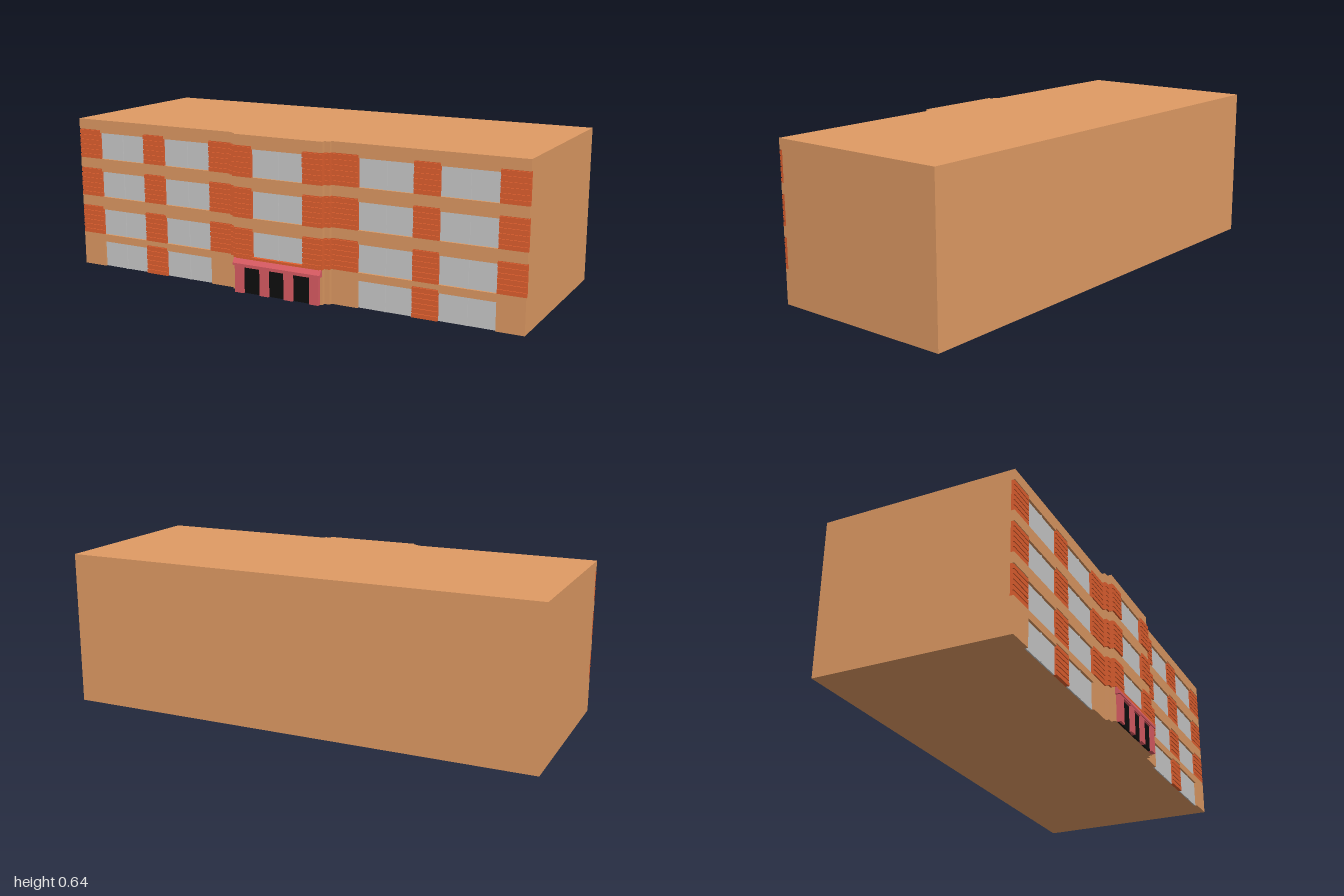
import * as THREE from 'three';

const mat = (color) => new THREE.MeshStandardMaterial({ color, flatShading: true });

export function createModel() {
  const root = new THREE.Group();
  const tan = mat(0xe09b64), brick = mat(0xe2602f), pink = mat(0xdc5c64);
  const grey = mat(0xcccccc), black = mat(0x0e0e0e);

  // Box given by its limits on each axis
  const box = (name, m, x0, x1, y0, y1, z0, z1) => {
    const mesh = new THREE.Mesh(new THREE.BoxGeometry(x1 - x0, y1 - y0, z1 - z0), m);
    mesh.position.set((x0 + x1) / 2, (y0 + y1) / 2, (z0 + z1) / 2);
    mesh.name = name;
    root.add(mesh);
  };
  // Side profile of [z, y] points swept along x
  const sweep = (name, m, x0, x1, points) => {
    const shape = new THREE.Shape(points.map(([z, y]) => new THREE.Vector2(z, y)));
    const geo = new THREE.ExtrudeGeometry(shape, { depth: x1 - x0, bevelEnabled: false });
    geo.rotateY(-Math.PI / 2).translate(x1, 0, 0);
    const mesh = new THREE.Mesh(geo, m);
    mesh.name = name;
    root.add(mesh);
  };
  // Brick panel with horizontal grooves
  const panel = (x0, x1, y0, y1, zBack, zFront) => {
    const rows = 6, pitch = (y1 - y0) / rows, groove = 0.004, zIn = zFront - 0.005;
    const pts = [[zBack, y0]];
    for (let i = 0; i < rows; i++) {
      const a = y0 + i * pitch, b = a + pitch - groove;
      pts.push([zFront, a], [zFront, b], [zIn, b], [zIn, a + pitch]);
    }
    pts.push([zBack, y1]);
    sweep('brickPanel', brick, x0, x1, pts);
  };
  // Two-pane window with a centre bar and a header above
  const glazing = (x0, x1, y0, y1, z, wallZ, top) => {
    const c = (x0 + x1) / 2;
    box('windowPane', grey, x0, x1, y0, y1, z - 0.005, z);
    box('windowBar', grey, c - 0.003, c + 0.003, y0, y1, z, z + 0.004);
    box('windowHeader', tan, x0, x1, y1, top, z - 0.005, wallZ);
  };

  const H = 0.64, BACK = -0.417, CORE = 0.352, WALL = 0.366, STEP = 0.38, BAY = 0.398;
  const floors = [[0, 0.122], [0.142, 0.265], [0.308, 0.43], [0.473, 0.597]];

  // Main block and the core of the projecting centre bay
  box('mainBlock', tan, -1, 1, 0, H, BACK, CORE);
  box('centreBay', tan, -0.2, 0.2, 0, H, CORE, 0.385);

  // Floor bands across the facade
  floors.forEach(([, y0], i) => {
    const y1 = i < 3 ? floors[i + 1][0] : H;
    box('floorBand', tan, -1, 1, y0, y1, CORE, WALL);
    box('bayBand', tan, -0.2, 0.2, y0, y1, 0.385, BAY);
  });
  box('entranceWall', tan, -0.2, 0.2, 0, 0.122, 0.385, BAY);

  for (const s of [-1, 1]) {
    const span = (a, b) => (s > 0 ? [a, b] : [-b, -a]);
    // Narrow step beside the centre bay, and plain ground floor walls
    box('bayStep', tan, ...span(0.2, 0.222), 0, H, CORE, STEP);
    box('groundWall', tan, ...span(0.222, 0.335), 0, 0.122, CORE, WALL);
    box('groundCorner', tan, ...span(0.89, 1), 0, 0.122, CORE, WALL);

    floors.forEach(([y0, y1], i) => {
      for (const [a, b] of [[0.335, 0.56], [0.665, 0.89]])
        glazing(...span(a, b), y0, y1 - 0.012, 0.357, WALL, y1);
      panel(...span(0.56, 0.665), y0, y1, CORE, WALL);
      if (i === 0) return;
      panel(...span(0.89, 1), y0, y1, CORE, WALL);
      panel(...span(0.222, 0.335), y0, y1, CORE, 0.371);
      panel(...span(0.2, 0.225), y0, y1, CORE, 0.386);
      panel(...span(0.115, 0.202), y0, y1, 0.38, 0.405);
    });
  }

  // Windows of the centre bay
  floors.slice(1).forEach(([y0, y1]) => glazing(-0.115, 0.115, y0, y1 - 0.012, 0.39, BAY, y1));

  // Entrance: dark doors between posts, under a sloping canopy
  box('doors', black, -0.185, 0.185, 0, 0.112, BAY, 0.406);
  for (const [a, b] of [[-0.19, -0.15], [-0.075, -0.035], [0.035, 0.075], [0.15, 0.19]])
    box('entrancePost', pink, a, b, 0, 0.112, BAY, 0.415);
  box('entranceLintel', pink, -0.19, 0.19, 0.108, 0.116, BAY, 0.415);
  sweep('entranceCanopy', pink, -0.198, 0.198,
    [[0.39, 0.113], [0.418, 0.113], [0.418, 0.122], [0.405, 0.142], [0.39, 0.142]]);
  box('canopyRidge', brick, -0.19, 0.19, 0.14, 0.15, 0.39, 0.406);

  return root;
}
